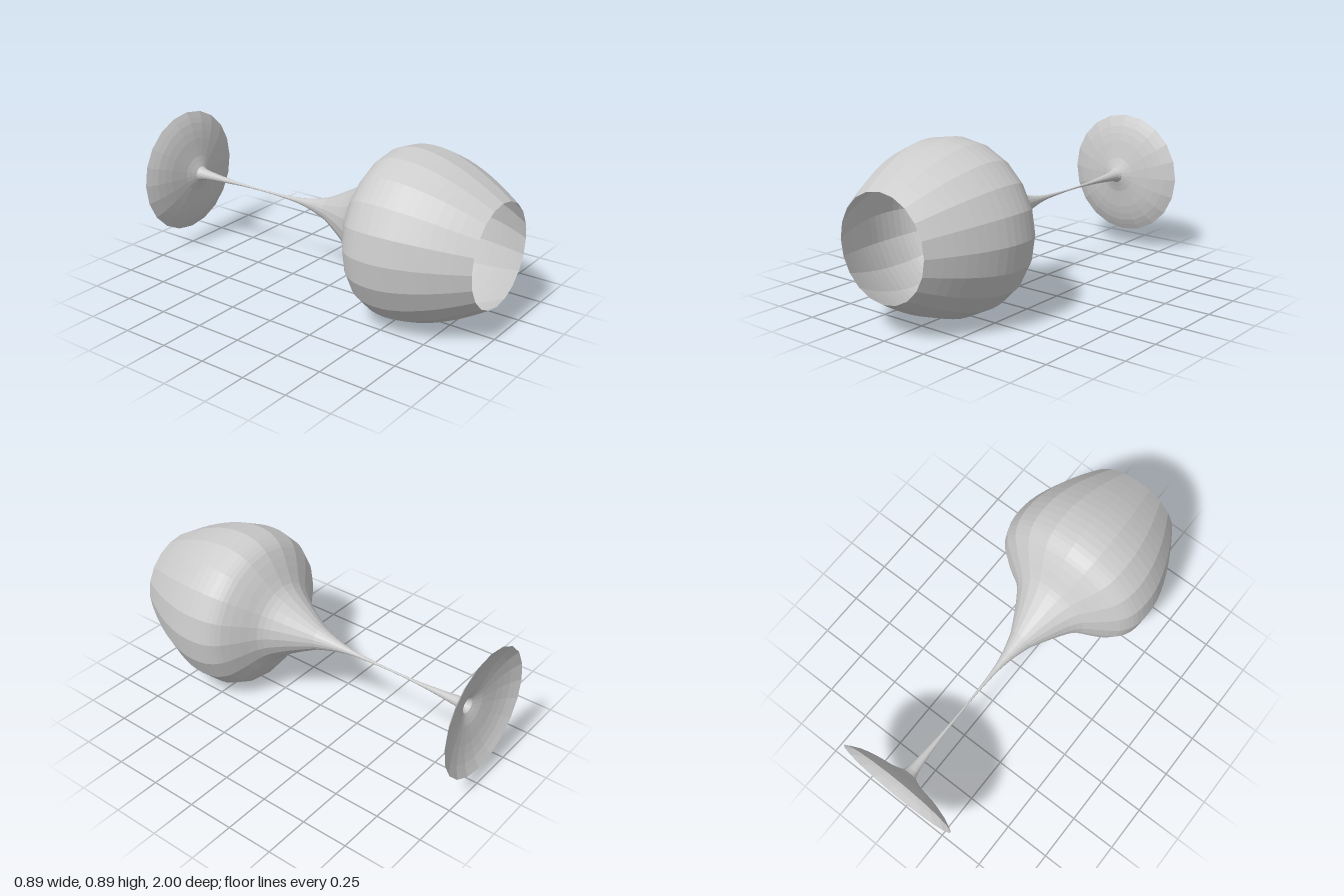
import * as THREE from 'three';

const AXIS_HEIGHT = 0.445;
const SIDES = 20;

// [distance along the axis (z), radius], from foot to rim
const FOOT = [
  [-1, 0.345], [-0.97, 0.285], [-0.945, 0.2], [-0.926, 0.1], [-0.905, 0.042],
];
const STEM = [
  [-0.905, 0.042], [-0.88, 0.032], [-0.8, 0.022], [-0.7, 0.014], [-0.6, 0.008],
  [-0.45, 0.005], [-0.3, 0.009], [-0.2, 0.016], [-0.1, 0.034], [0, 0.064],
];
const BOWL = [
  [0, 0.064], [0.1, 0.117], [0.2, 0.178], [0.25, 0.222], [0.3, 0.3], [0.36, 0.383],
  [0.4, 0.414], [0.45, 0.435], [0.53, 0.444], [0.62, 0.436], [0.72, 0.408],
  [0.82, 0.367], [0.92, 0.315], [1, 0.267],
];

// Thin faceted shell of revolution around z
function turnedPart(name, profile, material) {
  const curve = new THREE.CatmullRomCurve3(
    profile.map(([z, r]) => new THREE.Vector3(r, z, 0)), false, 'centripetal');
  const points = curve.getPoints((profile.length - 1) * 2)
    .map((p) => new THREE.Vector2(p.x, p.y));
  const geometry = new THREE.LatheGeometry(points, SIDES);
  geometry.rotateX(Math.PI / 2);
  const mesh = new THREE.Mesh(geometry, material);
  mesh.name = name;
  mesh.position.y = AXIS_HEIGHT;
  return mesh;
}

export function createModel() {
  const group = new THREE.Group();
  group.name = 'wineGlass';
  const material = new THREE.MeshStandardMaterial({
    color: 0xcccccc, flatShading: true, side: THREE.DoubleSide,
  });
  // Glass lying on its side, rim towards the front
  group.add(
    turnedPart('foot', FOOT, material),
    turnedPart('stem', STEM, material),
    turnedPart('bowl', BOWL, material),
  );
  return group;
}
